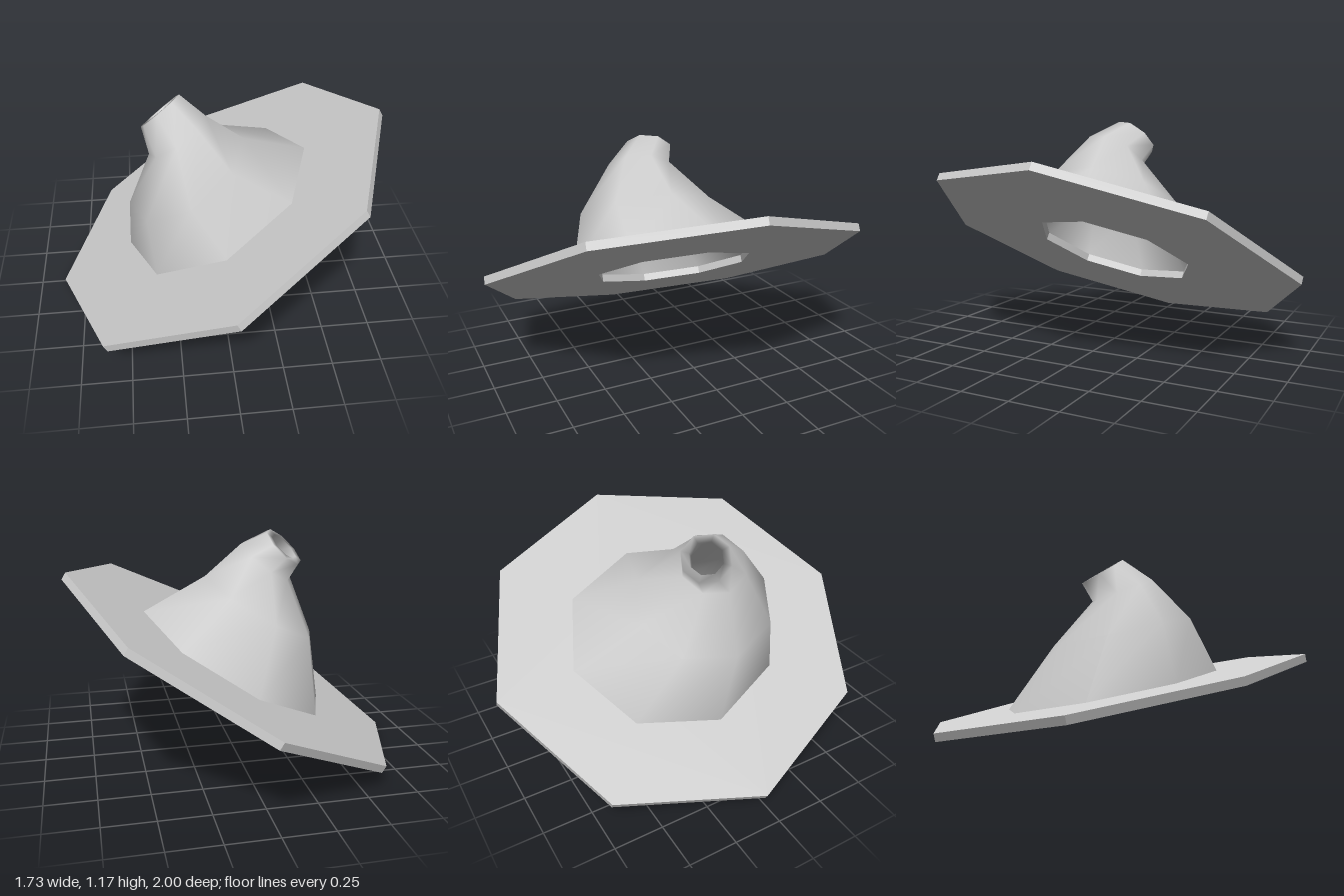
import * as THREE from 'three';

const SIDES = 8;
const SQUASH = 0.98; // slight narrowing across the tilted axis
const material = new THREE.MeshStandardMaterial({ color: 0xcccccc, side: THREE.DoubleSide });

// Axes of the tilted base plate
const plateX = new THREE.Vector3(0.867, 0.49, -0.03).normalize();
const plateUp = new THREE.Vector3(-0.493, 0.867, -0.074).normalize();

function octagon(PathType, radius) {
  const points = [];
  for (let i = 0; i < SIDES; i++) {
    const a = (i / SIDES) * Math.PI * 2;
    points.push(new THREE.Vector2(Math.cos(a) * radius * SQUASH, Math.sin(a) * radius));
  }
  return new PathType(points);
}

// Flat octagonal plate with an octagonal opening
function createPlate() {
  const shape = octagon(THREE.Shape, 1);
  shape.holes.push(octagon(THREE.Path, 0.425));
  const geometry = new THREE.ExtrudeGeometry(shape, { depth: 0.04, bevelEnabled: false });
  geometry.rotateX(-Math.PI / 2);
  const plateZ = new THREE.Vector3().crossVectors(plateX, plateUp);
  geometry.applyMatrix4(
    new THREE.Matrix4().makeBasis(plateX, plateUp, plateZ).setPosition(0.005, 0.486, 0));
  const plate = new THREE.Mesh(geometry, material);
  plate.name = 'basePlate';
  return plate;
}

// Smooth skin through tilted rings
function loft(rings) {
  const positions = [];
  const index = [];
  for (const { center, normal, rx, rz } of rings) {
    const up = normal.clone().normalize();
    const ex = plateX.clone().addScaledVector(up, -plateX.dot(up)).normalize();
    const ez = new THREE.Vector3().crossVectors(ex, up);
    for (let j = 0; j < SIDES; j++) {
      const a = (j / SIDES) * Math.PI * 2;
      const p = center.clone()
        .addScaledVector(ex, Math.cos(a) * rx)
        .addScaledVector(ez, Math.sin(a) * rz);
      positions.push(p.x, p.y, p.z);
    }
  }
  for (let i = 0; i < rings.length - 1; i++) {
    for (let j = 0; j < SIDES; j++) {
      const k = (j + 1) % SIDES;
      const a = i * SIDES + j, b = i * SIDES + k;
      const c = a + SIDES, d = b + SIDES;
      index.push(a, c, b, b, c, d);
    }
  }
  const geometry = new THREE.BufferGeometry();
  geometry.setAttribute('position', new THREE.Float32BufferAttribute(positions, 3));
  geometry.setIndex(index);
  geometry.computeVertexNormals();
  return geometry;
}

// Bent hollow funnel: up the outside, over the rim, down the inside
function createFunnel() {
  const v = (x, y, z) => new THREE.Vector3(x, y, z);
  const ring = (center, normal, rx, rz = rx) => ({ center, normal, rx, rz });
  const shoulder = v(-0.17, 0.77, 0.08);
  const neck = v(-0.21, 1.0, 0.1);
  const mouth = v(-0.285, 1.087, 0.01);
  const neckDir = v(-0.55, 0.8, -0.2);
  const mouthDir = v(-0.605, 0.71, -0.356);
  const geometry = loft([
    ring(v(-0.01, 0.52, -0.022), plateUp, 0.545, 0.573),
    ring(shoulder, plateUp, 0.34, 0.37),
    ring(neck, neckDir, 0.17),
    ring(mouth, mouthDir, 0.125),
    ring(mouth, mouthDir, 0.085),
    ring(neck, neckDir, 0.115),
    ring(shoulder, plateUp, 0.27, 0.29),
    ring(v(-0.015, 0.52, -0.003), plateUp, 0.416, 0.425),
  ]);
  const funnel = new THREE.Mesh(geometry, material);
  funnel.name = 'funnel';
  return funnel;
}

export function createModel() {
  const model = new THREE.Group();
  model.name = 'tiltedFunnel';
  model.add(createPlate(), createFunnel());
  return model;
}
